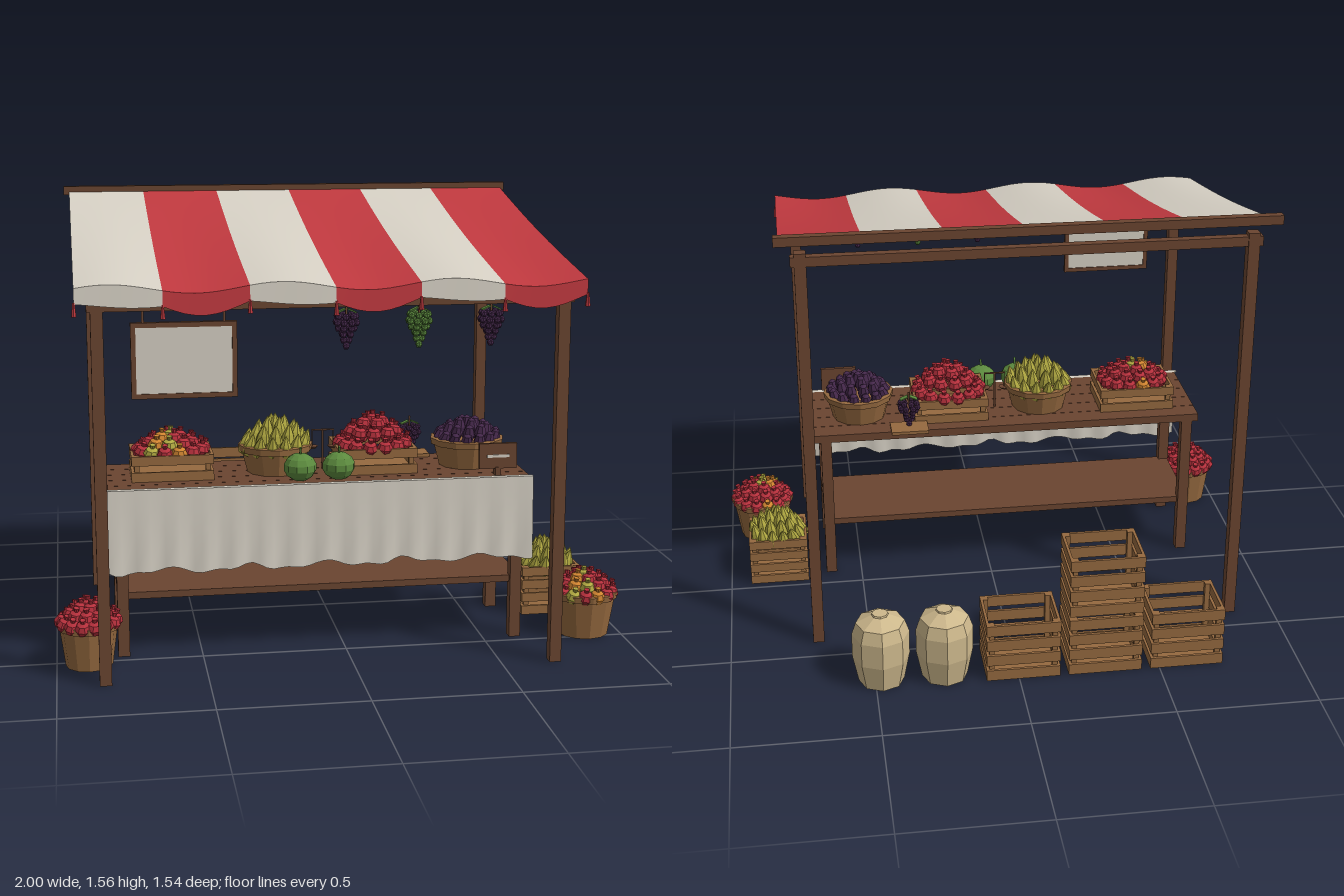
import * as THREE from 'three';

const mat = (name, color, side = THREE.FrontSide) => {
  const m = new THREE.MeshStandardMaterial({ color, side });
  m.name = name;
  return m;
};
const M = {
  dark: mat('dark wood', 0x6a4530),
  wood: mat('light wood', 0x95693f),
  cream: mat('cream cloth', 0xd6d0c4, THREE.DoubleSide),
  red: mat('red cloth', 0xc0393f, THREE.DoubleSide),
  fruit: mat('red fruit', 0xb5303c),
  orange: mat('orange fruit', 0xd08430),
  pear: mat('yellow pear', 0xb2aa42),
  green: mat('leaf green', 0x5c8a3e),
  purple: mat('purple fruit', 0x46294c),
  sack: mat('sack cloth', 0xcdb88c),
};

// faceted normals
const flat = (g) => {
  const f = g.index ? g.toNonIndexed() : g;
  f.computeVertexNormals();
  return f;
};
const add = (parent, name, geo, material, x = 0, y = 0, z = 0) => {
  const m = new THREE.Mesh(geo, material);
  m.name = name;
  m.position.set(x, y, z);
  parent.add(m);
  return m;
};
const box = (p, name, m, w, h, d, x, y, z) => add(p, name, new THREE.BoxGeometry(w, h, d), m, x, y, z);
const group = (parent, name, x = 0, y = 0, z = 0) => {
  const g = new THREE.Group();
  g.name = name;
  g.position.set(x, y, z);
  parent.add(g);
  return g;
};
const lathe = (pts, n) => flat(new THREE.LatheGeometry(pts.map(([r, y]) => new THREE.Vector2(r, y)), n));
// cloth sheet whose points follow f(u, v)
const sheet = (nu, nv, f) => {
  const g = new THREE.PlaneGeometry(1, 1, nu, nv), p = g.attributes.position;
  for (let i = 0; i < p.count; i++) p.setXYZ(i, ...f(p.getX(i) + 0.5, 0.5 - p.getY(i)));
  g.computeVertexNormals();
  return g;
};

const G = {
  round: lathe([[0, -0.026], [0.02, -0.019], [0.029, 0], [0.021, 0.018], [0.008, 0.025], [0.01, 0.038], [0, 0.035]], 8),
  pear: lathe([[0, -0.04], [0.018, -0.033], [0.025, -0.014], [0.019, 0.012], [0.009, 0.035], [0, 0.05]], 7),
  plum: lathe([[0, -0.036], [0.016, -0.026], [0.022, 0], [0.014, 0.026], [0, 0.036]], 7),
  grape: flat(new THREE.IcosahedronGeometry(0.0125, 0)),
};

// domed pile of fruit in rings
function heap(parent, name, geo, pick, rx, rz, h, y) {
  const g = group(parent, name, 0, y, 0);
  let k = 0;
  [[0.84, 14, 0], [0.56, 9, 0.52], [0.26, 4, 0.88], [0, 1, 1]].forEach(([r, n, t], ring) => {
    for (let i = 0; i < n; i++) {
      const a = (i + ring * 0.4) / n * Math.PI * 2;
      const f = add(g, 'fruit', geo, pick(k++), Math.cos(a) * r * rx, h * t, Math.sin(a) * r * rz);
      f.rotation.set(Math.sin(a) * r * 0.35, a, -Math.cos(a) * r * 0.35);
    }
  });
  return g;
}
const only = (m) => () => m;
const mixed = (k) => (k % 7 === 3 ? M.orange : k % 11 === 5 ? M.pear : M.fruit);

// slatted open crate
function crate(parent, name, w, h, d, slats, x, y, z) {
  const g = group(parent, name, x, y, z), t = 0.01, pitch = h / slats, sh = pitch * 0.74;
  box(g, 'crateFloor', M.wood, w - t, t, d - t, 0, t / 2 + 0.002, 0);
  for (const s of [-1, 1]) {
    for (const q of [-1, 1])
      box(g, 'crateCorner', M.wood, 0.018, h, 0.018, s * (w / 2 - t - 0.009), h / 2, q * (d / 2 - t - 0.009));
    for (let i = 0; i < slats; i++) {
      const sy = sh / 2 + i * (h - sh) / (slats - 1);
      box(g, 'crateSlat', M.wood, w, sh, t, 0, sy, s * (d / 2 - t / 2));
      box(g, 'crateSlat', M.wood, t, sh, d - 2 * t, s * (w / 2 - t / 2), sy, 0);
    }
  }
  return g;
}

// tapered stave basket with a rim band
function basket(parent, name, r0, r1, h, x, y, z) {
  const g = group(parent, name, x, y, z);
  add(g, 'staves', lathe([[0, 0], [r0, 0], [r1 - 0.004, h], [r1 - 0.016, h], [r1 - 0.02, h - 0.025], [0, h - 0.025]], 12), M.wood);
  add(g, 'rim', lathe([[r1 - 0.012, h - 0.022], [r1, h - 0.022], [r1 + 0.003, h], [r1 - 0.014, h + 0.003]], 12), M.wood);
  return g;
}

// tapering grape bunch hanging down from its origin
function grapes(parent, name, m, x, y, z) {
  const g = group(parent, name, x, y, z);
  box(g, 'stem', M.dark, 0.006, 0.05, 0.006, 0, -0.02, 0);
  [[0.031, 7], [0.034, 8], [0.026, 6], [0.017, 4], [0.009, 2], [0, 1]].forEach(([r, n], row) => {
    for (let i = 0; i < n; i++) {
      const a = (i + row * 0.5) / n * Math.PI * 2;
      add(g, 'grape', G.grape, m, Math.cos(a) * r, -0.035 - row * 0.018, Math.sin(a) * r);
    }
  });
  for (const s of [-1, 1]) {
    const leaf = box(g, 'leaf', M.green, 0.03, 0.004, 0.024, s * 0.018, -0.018, 0);
    leaf.rotation.z = -s * 0.4;
  }
  return g;
}

function frame(root) {
  const g = group(root, 'stallFrame');
  for (const x of [-0.84, 0.685]) {
    box(g, 'frontPost', M.dark, 0.04, 1.28, 0.04, x, 0.64, 0.72);
    box(g, 'backPost', M.dark, 0.04, 1.49, 0.04, x, 0.745, -0.39);
  }
  box(g, 'frontBeam', M.dark, 1.59, 0.032, 0.032, -0.077, 1.255, 0.72);
  box(g, 'backBeam', M.dark, 1.59, 0.034, 0.032, -0.077, 1.46, -0.39);
  box(g, 'ridgeBeam', M.dark, 1.7, 0.032, 0.032, -0.08, 1.54, -0.415);
}

// striped awning with scalloped front and tassels
function awning(root) {
  const g = group(root, 'awning'), x0 = -0.91, w = 0.2775;
  const edge = (x) => 1.312 + 0.016 * Math.sin((x - x0) * 11.3 + 0.4);
  for (let i = 0; i < 6; i++) {
    const m = i % 2 ? M.red : M.cream, X = (u) => x0 + (i + u) * w;
    add(g, 'awningStripe', sheet(8, 10, (u, v) =>
      [X(u), 1.535 + (edge(X(u)) - 1.535) * v - 0.012 * Math.sin(v * Math.PI), -0.4 + 1.155 * v]), m);
    add(g, 'valance', sheet(8, 1, (u, v) =>
      [X(u), edge(X(u)) - v * (0.05 + 0.022 * Math.sin(u * Math.PI)), 0.755 + 0.004 * v]), m);
  }
  for (let i = 0; i <= 6; i++) {
    const x = x0 + i * w;
    add(g, 'tassel', flat(new THREE.CylinderGeometry(0.004, 0.009, 0.045, 6)), M.red, x, edge(x) - 0.067, 0.758);
  }
}

function table(root) {
  const g = group(root, 'table');
  for (let i = 0; i < 5; i++) box(g, 'topPlank', M.dark, 1.47, 0.03, 0.079, -0.077, 0.575, 0.116 + i * 0.081);
  for (const x of [-0.77, 0.615]) {
    for (const z of [0.1, 0.445]) box(g, 'tableLeg', M.dark, 0.04, 0.56, 0.04, x, 0.28, z);
    box(g, 'endRail', M.dark, 0.03, 0.03, 0.31, x, 0.545, 0.272);
  }
  box(g, 'lowerShelf', M.dark, 1.42, 0.024, 0.35, -0.077, 0.212, 0.272);
  // draped front cloth with a wavy hem
  add(g, 'tableCloth', sheet(60, 4, (u, v) => [
    -0.82 + 1.485 * u,
    0.594 - v * (0.285 + 0.01 * Math.sin(u * 34) + 0.006 * Math.sin(u * 71)),
    0.487 + 0.006 * v * (1 + Math.sin(u * 90)),
  ]), M.cream);
  add(g, 'clothFold', sheet(1, 1, (u, v) => [-0.82 + 1.485 * u, 0.594, 0.465 + 0.022 * v]), M.cream);
}

function tableGoods(root) {
  const g = group(root, 'tableGoods');
  const c1 = crate(g, 'mixedFruitCrate', 0.285, 0.09, 0.22, 2, -0.585, 0.59, 0.25);
  heap(c1, 'mixedFruit', G.round, mixed, 0.135, 0.1, 0.045, 0.09);
  const b1 = basket(g, 'pearBasket', 0.1, 0.13, 0.1, -0.215, 0.59, 0.25);
  heap(b1, 'pears', G.pear, only(M.pear), 0.125, 0.125, 0.06, 0.1);
  const c2 = crate(g, 'redFruitCrate', 0.28, 0.09, 0.24, 2, 0.135, 0.59, 0.25);
  heap(c2, 'redFruit', G.round, only(M.fruit), 0.14, 0.125, 0.08, 0.09);
  const b2 = basket(g, 'plumBasket', 0.1, 0.13, 0.1, 0.48, 0.59, 0.25);
  heap(b2, 'plums', G.plum, only(M.purple), 0.12, 0.12, 0.045, 0.1);
  // melons
  for (const x of [-0.15, -0.015]) {
    const m = group(g, 'melon', x, 0.64, 0.42);
    add(m, 'melonBody', flat(new THREE.SphereGeometry(0.058, 10, 7)), M.green).scale.y = 0.85;
    const stem = box(m, 'melonStem', M.green, 0.007, 0.03, 0.007, 0, 0.058, 0.01);
    stem.rotation.x = 0.4;
  }
  // small balance
  box(g, 'balancePost', M.dark, 0.006, 0.14, 0.006, -0.045, 0.66, 0.25);
  box(g, 'balanceArm', M.dark, 0.08, 0.005, 0.005, -0.045, 0.732, 0.25);
  for (const x of [-0.083, -0.007]) {
    box(g, 'balanceWire', M.dark, 0.003, 0.06, 0.003, x, 0.702, 0.25);
    add(g, 'balancePan', flat(new THREE.CylinderGeometry(0.022, 0.014, 0.008, 8)), M.dark, x, 0.67, 0.25);
  }
  // board with a grape bunch
  box(g, 'cuttingBoard', M.wood, 0.14, 0.012, 0.09, 0.3, 0.597, 0.088);
  grapes(g, 'tableGrapes', M.purple, 0.3, 0.735, 0.1);
  // price board
  const s = group(g, 'priceBoard', 0.547, 0.66, 0.44);
  box(s, 'board', M.dark, 0.135, 0.09, 0.014, 0, 0, 0);
  box(s, 'boardStripe', M.cream, 0.08, 0.01, 0.004, 0, 0, 0.008);
  box(s, 'boardFoot', M.dark, 0.02, 0.03, 0.03, 0, -0.055, -0.005);
}

function hangingGoods(root) {
  const g = group(root, 'hangingSign', -0.565, 1.078, 0.72);
  box(g, 'signPanel', M.cream, 0.32, 0.225, 0.012, 0, 0, 0);
  for (const s of [-1, 1]) {
    box(g, 'signRail', M.dark, 0.34, 0.016, 0.02, 0, s * 0.115, 0);
    box(g, 'signStile', M.dark, 0.016, 0.245, 0.02, s * 0.162, 0, 0);
    box(g, 'signStrap', M.dark, 0.008, 0.05, 0.008, s * 0.13, 0.145, 0);
  }
  [[-0.04, M.purple], [0.2, M.green], [0.44, M.purple]].forEach(([x, m]) =>
    grapes(root, 'hangingGrapes', m, x, 1.245, 0.72).scale.set(1, 1.08, 1));
}

function groundGoods(root) {
  const g = group(root, 'groundGoods');
  const l = basket(g, 'leftBasket', 0.08, 0.105, 0.155, -0.89, 0, 0.52);
  heap(l, 'redFruit', G.round, only(M.fruit), 0.105, 0.105, 0.05, 0.155);
  const r = basket(g, 'rightBasket', 0.09, 0.12, 0.16, 0.872, 0, 0.445);
  heap(r, 'mixedFruit', G.round, mixed, 0.115, 0.115, 0.05, 0.155);
  const c = crate(g, 'pearCrate', 0.22, 0.18, 0.205, 4, 0.815, 0, 0.132);
  heap(c, 'pears', G.pear, only(M.pear), 0.105, 0.1, 0.055, 0.175);
  // empty crates at the back
  for (const [x, y] of [[-0.597, 0], [-0.305, 0], [-0.015, 0], [-0.305, 0.235]])
    crate(g, 'emptyCrate', 0.26, 0.22, 0.205, 4, x, y, -0.632);
  // tied sacks
  const sack = lathe([[0, 0], [0.08, 0], [0.1, 0.1], [0.1, 0.19], [0.085, 0.235], [0.03, 0.262], [0.028, 0.268], [0, 0.268]], 8);
  for (const x of [0.255, 0.477]) add(g, 'sack', sack, M.sack, x, 0, -0.668);
}

export function createModel() {
  const root = new THREE.Group();
  root.name = 'marketStall';
  [frame, awning, table, tableGoods, hangingGoods, groundGoods].forEach((build) => build(root));
  return root;
}
